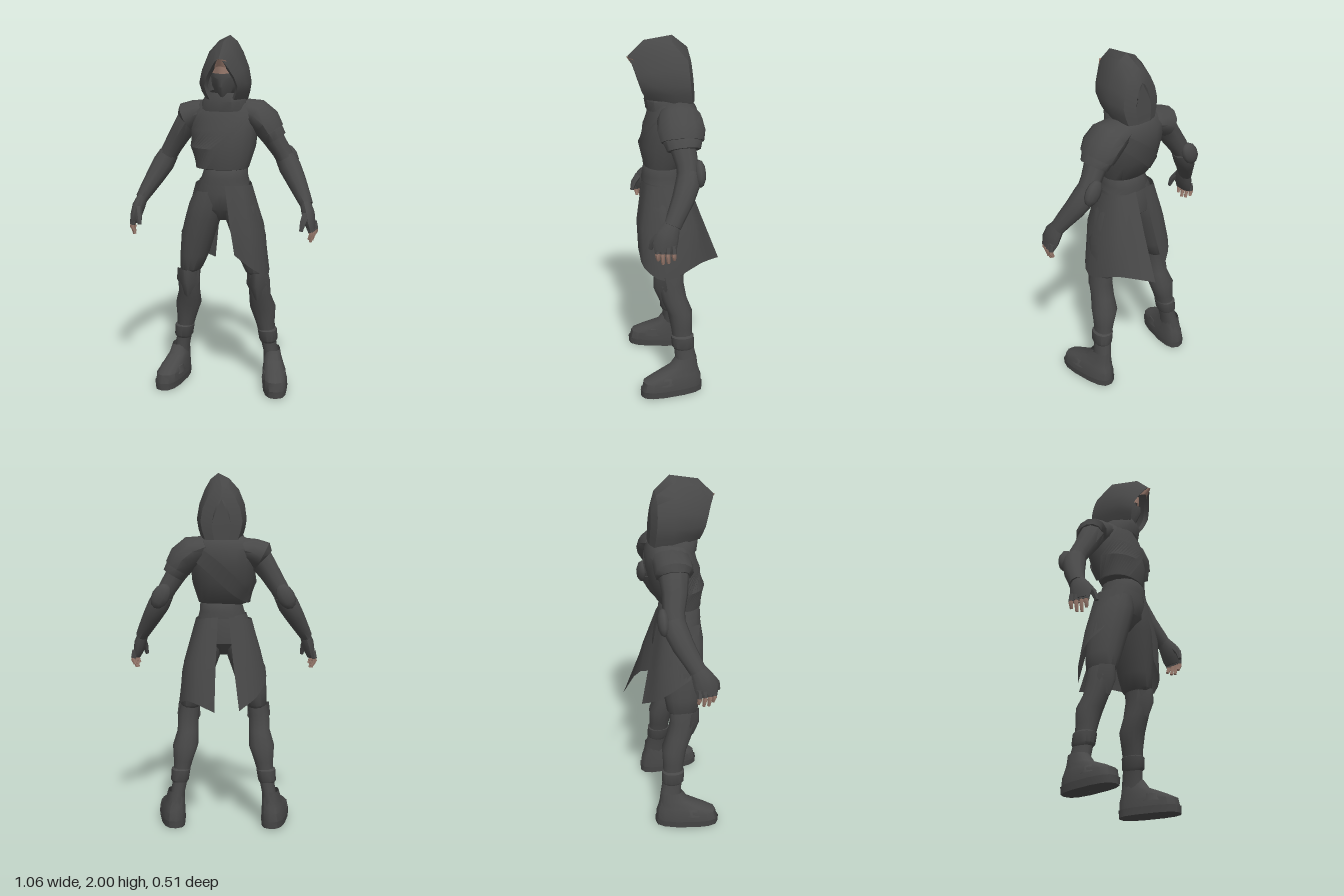
import * as THREE from 'three';
import { toCreasedNormals } from 'three/addons/utils/BufferGeometryUtils.js';

const V = (p) => new THREE.Vector3(p[0], p[1], p[2]);

// Surface through rows of points; s = -1 builds the mirrored part
function loft(rows, s = 1) {
  const n = rows[0].length, pos = [], idx = [];
  rows.forEach((r) => r.forEach((p) => pos.push(p.x * s, p.y, p.z)));
  for (let i = 0; i < rows.length - 1; i++) {
    for (let j = 0; j < n - 1; j++) {
      const a = i * n + j, b = a + 1, c = a + n, d = c + 1;
      if (s > 0) idx.push(a, c, b, b, c, d);
      else idx.push(a, b, c, b, d, c);
    }
  }
  const g = new THREE.BufferGeometry();
  g.setAttribute('position', new THREE.Float32BufferAttribute(pos, 3));
  g.setIndex(idx);
  return toCreasedNormals(g, 0.75);
}

// Horizontal elliptical rows, top to bottom: [y, cx, cz, rx, rz, startAngle, endAngle]
function shell(rows, s = 1, n = 14, power = 0.9) {
  const soft = (v) => Math.sign(v) * Math.abs(v) ** power;
  return loft(rows.map(([y, cx, cz, rx, rz, a0 = 0, a1 = Math.PI * 2]) =>
    Array.from({ length: n + 1 }, (_, j) => {
      const a = a0 + (a1 - a0) * j / n;
      return new THREE.Vector3(cx + rx * soft(Math.sin(a)), y, cz + rz * soft(Math.cos(a)));
    })), s);
}

// Tapered tube, rows [x, y, z, width, depth], closed at both ends
function limb(rows, s = 1, n = 10) {
  const pts = rows.map(V), z = new THREE.Vector3(0, 0, 1);
  const rings = rows.map((r, i) => {
    const d = pts[Math.min(i + 1, pts.length - 1)].clone().sub(pts[Math.max(i - 1, 0)]).normalize();
    const u = z.clone().cross(d).normalize(), v = d.clone().cross(u);
    return Array.from({ length: n + 1 }, (_, j) => {
      const a = j / n * Math.PI * 2;
      return pts[i].clone().addScaledVector(u, Math.sin(a) * r[3]).addScaledVector(v, Math.cos(a) * r[4]);
    });
  });
  const cap = (p) => Array.from({ length: n + 1 }, () => p.clone());
  return loft([cap(pts[0]), ...rings, cap(pts[pts.length - 1])], s);
}

// Cloth sheet through a few smooth curves
function sheet(curves, s = 1, n = 12) {
  return loft(curves.map((c) => new THREE.CatmullRomCurve3(c.map(V)).getPoints(n)), s);
}

export function createModel() {
  const model = new THREE.Group();
  const material = (name, color) => {
    const m = new THREE.MeshStandardMaterial({ color, side: THREE.DoubleSide });
    m.name = name;
    return m;
  };
  const cloth = material('charcoal cloth', 0x484848);
  const skin = material('skin', 0x9a7b6e);
  const add = (name, geometry, mat = cloth) => {
    const mesh = new THREE.Mesh(geometry, mat);
    mesh.name = name;
    model.add(mesh);
    return mesh;
  };

  // Hood: arches from the back to the front rim, mirrored across the crest
  const arches = [
    [[0, 1.86, -0.095], [0.03, 1.82, -0.098], [0.05, 1.73, -0.105], [0.04, 1.64, -0.11]],
    [[0, 1.93, -0.075], [0.075, 1.87, -0.07], [0.115, 1.74, -0.08], [0.09, 1.64, -0.09]],
    [[0.02, 2.0, 0.01], [0.095, 1.91, 0.02], [0.138, 1.75, 0.01], [0.115, 1.65, 0]],
    [[0.01, 1.975, 0.16], [0.075, 1.89, 0.15], [0.13, 1.75, 0.12], [0.1, 1.665, 0.1]],
    [[0, 1.89, 0.245], [0.045, 1.84, 0.22], [0.09, 1.74, 0.185], [0.065, 1.665, 0.16]],
    [[0, 1.87, 0.21], [0.04, 1.82, 0.19], [0.075, 1.74, 0.16], [0.055, 1.675, 0.14]],
  ];
  const arch = (a) => [...a.slice(1).reverse().map(([x, y, z]) => [0.01 - x, y, z]),
    [a[0][0] + 0.01, a[0][1], a[0][2]], ...a.slice(1).map(([x, y, z]) => [0.01 + x, y, z])];
  add('hood', sheet(arches.map(arch)));
  add('hoodBack', sheet([
    [[-0.03, 1.64, -0.11], [-0.04, 1.73, -0.105], [0.01, 1.86, -0.095]],
    [[0.05, 1.64, -0.11], [0.06, 1.73, -0.105], [0.01, 1.86, -0.095]],
  ]));

  // Masked head with bare brow
  add('head', new THREE.SphereGeometry(1, 12, 8)).scale.set(0.075, 0.115, 0.085);
  model.getObjectByName('head').position.set(0.01, 1.78, 0.07);
  add('mask', sheet([
    [[-0.055, 1.79, 0.12], [0.01, 1.775, 0.185], [0.075, 1.79, 0.12]],
    [[-0.05, 1.74, 0.12], [0.01, 1.735, 0.185], [0.07, 1.74, 0.12]],
    [[-0.025, 1.68, 0.11], [0.01, 1.675, 0.15], [0.045, 1.68, 0.11]],
  ]));
  add('browSkin', sheet([
    [[-0.045, 1.84, 0.13], [0.01, 1.85, 0.175], [0.065, 1.84, 0.13]],
    [[-0.055, 1.805, 0.125], [0.01, 1.805, 0.172], [0.075, 1.805, 0.125]],
  ]), skin);
  add('foreheadSkin', sheet([
    [[-0.015, 1.88, 0.22], [0.015, 1.888, 0.252], [0.045, 1.88, 0.22]],
    [[-0.03, 1.835, 0.195], [0.01, 1.848, 0.225], [0.055, 1.835, 0.195]],
  ]), skin);

  // Collar, jacket with crossed front, belt and hips
  add('collar', shell([[1.7, 0.01, 0.045, 0.085, 0.1], [1.655, 0.005, 0.035, 0.12, 0.125],
    [1.6, 0, 0.03, 0.13, 0.12]]));
  const torso = [[1.67, 0, 0.01, 0.08, 0.08], [1.64, 0, 0, 0.14, 0.105], [1.59, 0, 0, 0.19, 0.13],
    [1.5, 0, 0.015, 0.185, 0.143], [1.4, 0, 0.04, 0.177, 0.143], [1.285, 0, 0.06, 0.142, 0.107]];
  add('jacket', shell([...torso, [1.27, 0, 0.06, 0.1, 0.08]], 1, 18));
  const seam = [1.3, 1.2, 0.95, 0.55, 0.0, -0.5];
  add('jacketFlap', shell(torso.map(([y, x, z, rx, rz], i) =>
    [y, x, z, rx + 0.008, rz + 0.008, seam[i] - 1.6, seam[i]]).slice(1)));
  add('backSash', sheet([
    [[0.16, 1.62, -0.09], [0.02, 1.52, -0.137], [-0.1, 1.4, -0.092], [-0.15, 1.32, 0]],
    [[0.2, 1.56, -0.075], [0.06, 1.44, -0.112], [-0.06, 1.33, -0.075], [-0.13, 1.285, 0]],
  ]));
  add('belt', shell([[1.3, 0.01, 0.06, 0.11, 0.09], [1.275, 0.015, 0.06, 0.12, 0.11],
    [1.235, 0.01, 0.06, 0.128, 0.118], [1.2, 0.01, 0.06, 0.138, 0.12]]));
  add('hips', shell([[1.22, 0, 0.06, 0.13, 0.11], [1.15, 0, 0.055, 0.155, 0.125],
    [1.06, 0, 0.05, 0.16, 0.12], [0.99, 0, 0.05, 0.04, 0.05]]));

  // Coat skirts with pointed back tails: a long one and a short one
  add('longCoatSkirt', sheet([
    [[0.03, 1.2, 0.18], [0.12, 1.2, 0.155], [0.158, 1.19, 0.05], [0.12, 1.2, -0.04], [0.03, 1.21, -0.065]],
    [[0.065, 0.98, 0.215], [0.17, 0.96, 0.195], [0.225, 0.95, 0.07], [0.185, 0.96, -0.1], [0.04, 0.97, -0.155]],
    [[0.09, 0.82, 0.21], [0.19, 0.74, 0.19], [0.26, 0.68, 0.08], [0.2, 0.75, -0.13], [0.045, 0.71, -0.255]],
  ]));
  add('shortCoatSkirt', sheet([
    [[0.12, 1.19, 0.155], [0.158, 1.19, 0.05], [0.12, 1.2, -0.04], [0.03, 1.21, -0.065]],
    [[0.2, 0.98, 0.11], [0.217, 0.97, 0.01], [0.165, 0.96, -0.08], [0.055, 0.97, -0.115]],
    [[0.237, 0.91, 0.08], [0.24, 0.85, -0.01], [0.19, 0.77, -0.1], [0.09, 0.7, -0.17]],
  ], -1));

  for (const s of [1, -1]) {
    const side = s > 0 ? 'left' : 'right';
    // Baggy trousers and lower leg
    add(side + 'Trouser', shell([[1.16, 0.07, 0.055, 0.085, 0.115], [1.08, 0.09, 0.055, 0.1, 0.125],
      [1, 0.113, 0.05, 0.1, 0.125], [0.9, 0.143, 0.05, 0.094, 0.115], [0.78, 0.167, 0.045, 0.08, 0.1],
      [0.7, 0.185, 0.045, 0.062, 0.088], [0.68, 0.19, 0.045, 0.045, 0.07]], s));
    add(side + 'LowerLeg', shell([[0.73, 0.185, 0.045, 0.055, 0.075], [0.64, 0.202, 0.045, 0.06, 0.075],
      [0.55, 0.205, 0.025, 0.06, 0.072], [0.47, 0.217, -0.008, 0.073, 0.07], [0.38, 0.23, -0.015, 0.055, 0.06],
      [0.3, 0.243, -0.02, 0.044, 0.054], [0.2, 0.26, -0.035, 0.04, 0.06], [0.1, 0.275, -0.04, 0.05, 0.07]], s));
    add(side + 'KneeGuard', sheet([
      [[0.14, 0.7, 0.08], [0.2, 0.7, 0.138], [0.26, 0.7, 0.08]],
      [[0.135, 0.62, 0.07], [0.2, 0.62, 0.14], [0.268, 0.63, 0.07]],
      [[0.18, 0.55, 0.09], [0.2, 0.535, 0.105], [0.225, 0.55, 0.09]],
    ], s));
    add(side + 'AnkleStrap', shell([[0.34, 0.24, -0.018, 0.045, 0.052], [0.33, 0.243, -0.018, 0.055, 0.065],
      [0.27, 0.25, -0.022, 0.052, 0.064], [0.25, 0.25, -0.025, 0.04, 0.05]], s));

    // Boot, toes turned out
    const boot = new THREE.Group();
    boot.name = side + 'Boot';
    boot.position.set(s * 0.273, 0, -0.035);
    boot.rotation.y = s * 0.17;
    const upper = add('bootUpper', shell([[0.21, 0, 0, 0.042, 0.06], [0.16, 0, 0.015, 0.052, 0.08],
      [0.12, 0.005, 0.06, 0.06, 0.135], [0.09, 0.008, 0.085, 0.068, 0.17],
      [0.03, 0.01, 0.09, 0.068, 0.178]], s, 14, 0.75));
    const sole = add('bootSole', shell([[0.045, 0.01, 0.09, 0.073, 0.183], [0.005, 0.01, 0.09, 0.068, 0.18],
      [0, 0.01, 0.09, 0.001, 0.001]], s, 14, 0.75));
    const strap = add('bootStrap', shell([[0.125, 0.005, 0.105, 0.045, 0.04], [0.115, 0.005, 0.11, 0.062, 0.055],
      [0.075, 0.008, 0.12, 0.073, 0.065]], s, 12, 0.6));
    boot.add(upper, sole, strap);
    model.add(boot);

    // Arm, bracer and elbow guard
    add(side + 'UpperArm', limb([[0.13, 1.57, -0.01, 0.07, 0.09], [0.2, 1.54, -0.01, 0.075, 0.085],
      [0.26, 1.45, -0.015, 0.06, 0.07], [0.31, 1.37, -0.03, 0.053, 0.06], [0.36, 1.28, -0.03, 0.05, 0.055]], s));
    add(side + 'Bracer', limb([[0.33, 1.335, -0.035, 0.055, 0.06], [0.36, 1.28, -0.025, 0.062, 0.066],
      [0.4, 1.21, 0.005, 0.054, 0.06], [0.445, 1.13, 0.05, 0.042, 0.05], [0.467, 1.09, 0.07, 0.035, 0.046]], s));
    const guard = add(side + 'ElbowGuard', new THREE.SphereGeometry(1, 10, 6));
    guard.scale.set(0.05, 0.075, 0.032);
    guard.position.set(s * 0.345, 1.33, -0.092);
    guard.rotation.z = s * 0.5;

    // Gloved hand with bare fingers
    add(side + 'Hand', limb([[0.46, 1.1, 0.07, 0.03, 0.042], [0.478, 1.05, 0.095, 0.035, 0.06],
      [0.49, 1, 0.112, 0.03, 0.065], [0.5, 0.965, 0.115, 0.022, 0.055]], s));
    [0.07, 0.1, 0.128, 0.153].forEach((z, i) => {
      const tip = [0.92, 0.9, 0.895, 0.915][i], x = 0.505 + 0.006 * (1.5 - i);
      add(side + 'Finger', limb([[x, 0.985, z, 0.014, 0.014], [x + 0.006, 0.945, z, 0.013, 0.013],
        [x - 0.006, tip, z - 0.004, 0.009, 0.009]], s, 6), skin);
      add(side + 'GloveFinger', limb([[x - 0.005, 1, z, 0.017, 0.016], [x + 0.004, 0.957, z, 0.016, 0.015]], s, 6));
    });
    add(side + 'Thumb', limb([[0.47, 1.05, 0.14, 0.022, 0.022], [0.458, 1.01, 0.172, 0.018, 0.018],
      [0.45, 0.965, 0.185, 0.011, 0.011]], s, 6));
  }

  // Layered pauldron on the left, flared short sleeve on the right
  add('pauldronUpper', limb([[0.1, 1.6, -0.01, 0.06, 0.1], [0.17, 1.575, -0.012, 0.085, 0.122],
    [0.225, 1.53, -0.014, 0.085, 0.127], [0.255, 1.48, -0.014, 0.075, 0.115]], 1, 12));
  add('pauldronLower', limb([[0.22, 1.53, -0.014, 0.06, 0.09], [0.255, 1.48, -0.016, 0.068, 0.105],
    [0.278, 1.44, -0.018, 0.064, 0.09]], 1, 12));
  add('shoulderSleeve', limb([[0.09, 1.59, -0.005, 0.06, 0.1], [0.16, 1.57, -0.008, 0.075, 0.105],
    [0.215, 1.545, -0.01, 0.085, 0.105], [0.225, 1.535, -0.01, 0.06, 0.08]], -1, 12));

  return model;
}
